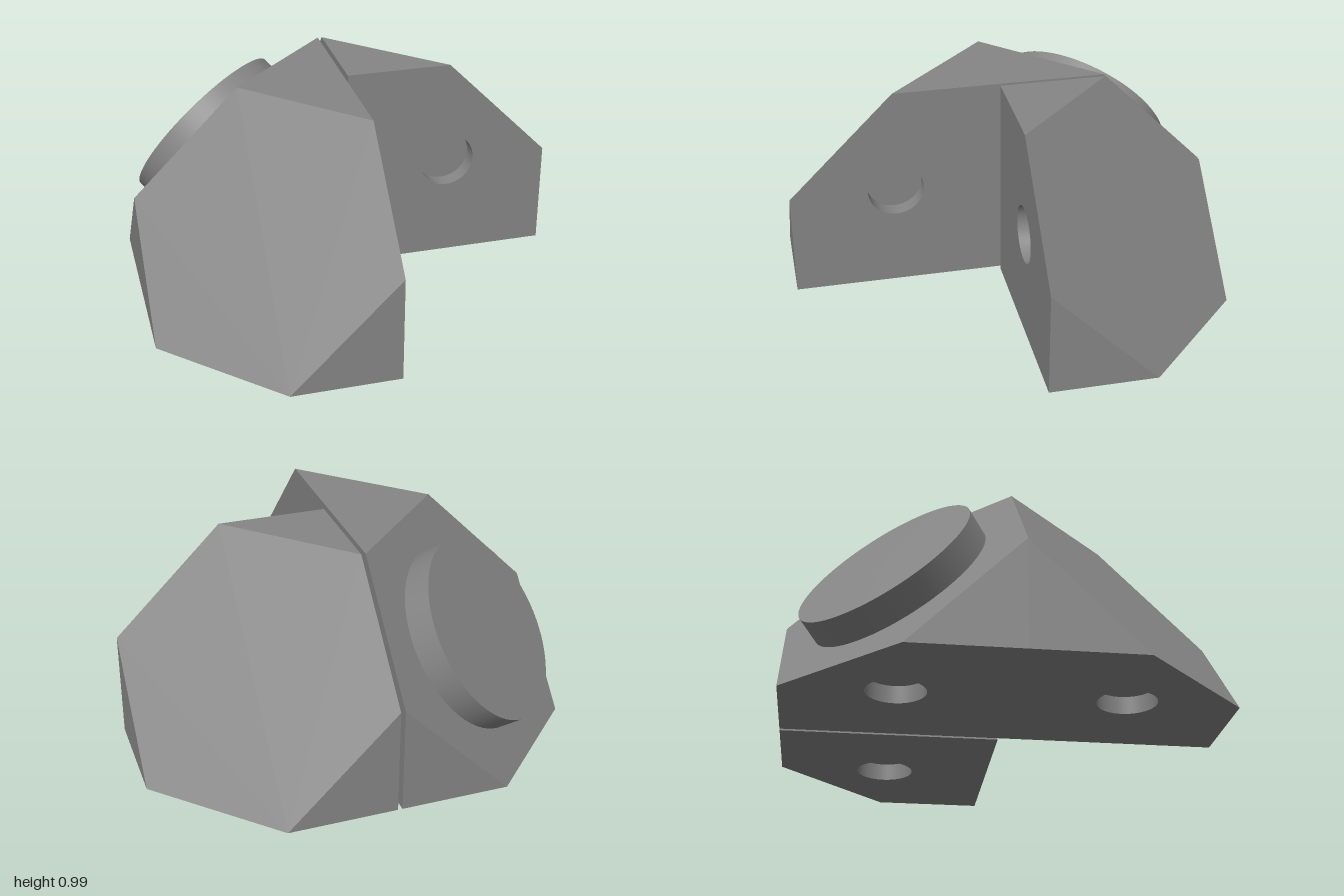
import * as THREE from 'three';
import { mergeGeometries } from 'three/addons/utils/BufferGeometryUtils.js';

const S = 0.99, H = S / 2;             // block edge and half edge
const GAP = 0.01;                      // half of the slit between the two sides
const HOLE_R = 0.132, HOLE_D = 0.08;   // round pockets
const DISC_R = 0.435, DISC_H = 0.13;   // raised button

const bodyMaterial = new THREE.MeshStandardMaterial({ color: 0x868686 });
const pocketMaterial = new THREE.MeshStandardMaterial({ color: 0x868686, side: THREE.DoubleSide });
const diagonal = new THREE.Vector3(1, 1, 1).normalize();

// Flat convex polygon as a triangle fan
function fan(points) {
  const pos = [];
  for (let i = 1; i < points.length - 1; i++) pos.push(...points[0], ...points[i], ...points[i + 1]);
  const g = new THREE.BufferGeometry();
  g.setAttribute('position', new THREE.Float32BufferAttribute(pos, 3));
  g.computeVertexNormals();
  return g;
}

// Pentagonal side in the plane z = 0, facing -z, with a round opening
function pentagon() {
  const shape = new THREE.Shape([[0, 0], [S, 0], [S, H], [H, S], [0, S]].map(p => new THREE.Vector2(...p)));
  shape.holes.push(new THREE.Path().absarc(H, H, HOLE_R, 0, Math.PI * 2, true));
  const flip = new THREE.Matrix4().makeRotationAxis(new THREE.Vector3(1, 1, 0).normalize(), Math.PI);
  const g = new THREE.ShapeGeometry(shape, 24).applyMatrix4(flip).toNonIndexed();
  g.deleteAttribute('uv');
  return g;
}

// Blind hole behind the opening: wall and floor
function pocket() {
  const wall = new THREE.CylinderGeometry(HOLE_R, HOLE_R, HOLE_D, 48, 1, true)
    .rotateX(Math.PI / 2).translate(H, H, HOLE_D / 2);
  const floor = new THREE.CircleGeometry(HOLE_R, 48).rotateY(Math.PI).translate(H, H, HOLE_D);
  return mergeGeometries([wall, floor]);
}

// Half cube with its corner at the origin, cut by a hexagon across the diagonal
function halfCube(name) {
  const block = new THREE.Group();
  block.name = name;
  const faces = [fan([[S, 0, H], [S, H, 0], [H, S, 0], [0, S, H], [0, H, S], [H, 0, S]])];
  const pockets = [];
  // Three identical sides around the diagonal
  for (let i = 0; i < 3; i++) {
    const turn = new THREE.Matrix4().makeRotationAxis(diagonal, i * Math.PI * 2 / 3);
    faces.push(pentagon().applyMatrix4(turn));
    faces.push(fan([[S, 0, 0], [S, H, 0], [S, 0, H]]).applyMatrix4(turn));
    pockets.push(pocket().applyMatrix4(turn));
  }
  const body = new THREE.Mesh(mergeGeometries(faces), bodyMaterial);
  body.name = 'halfCubeBody';
  const holes = new THREE.Mesh(mergeGeometries(pockets), pocketMaterial);
  holes.name = 'roundPockets';
  block.add(body, holes);
  return block;
}

export function createModel() {
  const model = new THREE.Group();
  model.name = 'halfCubeCorner';

  // Three blocks around the vertical axis, leaving the front left quarter empty
  const layout = [
    ['frontRightBlock', -GAP, -Math.PI / 2],
    ['backRightBlock', -GAP, Math.PI],
    ['backLeftBlock', GAP, Math.PI / 2],
  ];
  for (const [name, x, turn] of layout) {
    const block = halfCube(name);
    block.position.x = x;
    block.rotation.y = turn;
    model.add(block);

    // Raised button on the hexagon of the middle block
    if (name === 'backRightBlock') {
      const disc = new THREE.Mesh(new THREE.CylinderGeometry(DISC_R, DISC_R, DISC_H, 64), bodyMaterial);
      disc.name = 'raisedDisc';
      disc.position.set(H, H, H).addScaledVector(diagonal, DISC_H / 2);
      disc.quaternion.setFromUnitVectors(new THREE.Vector3(0, 1, 0), diagonal);
      block.add(disc);
    }
  }
  return model;
}
